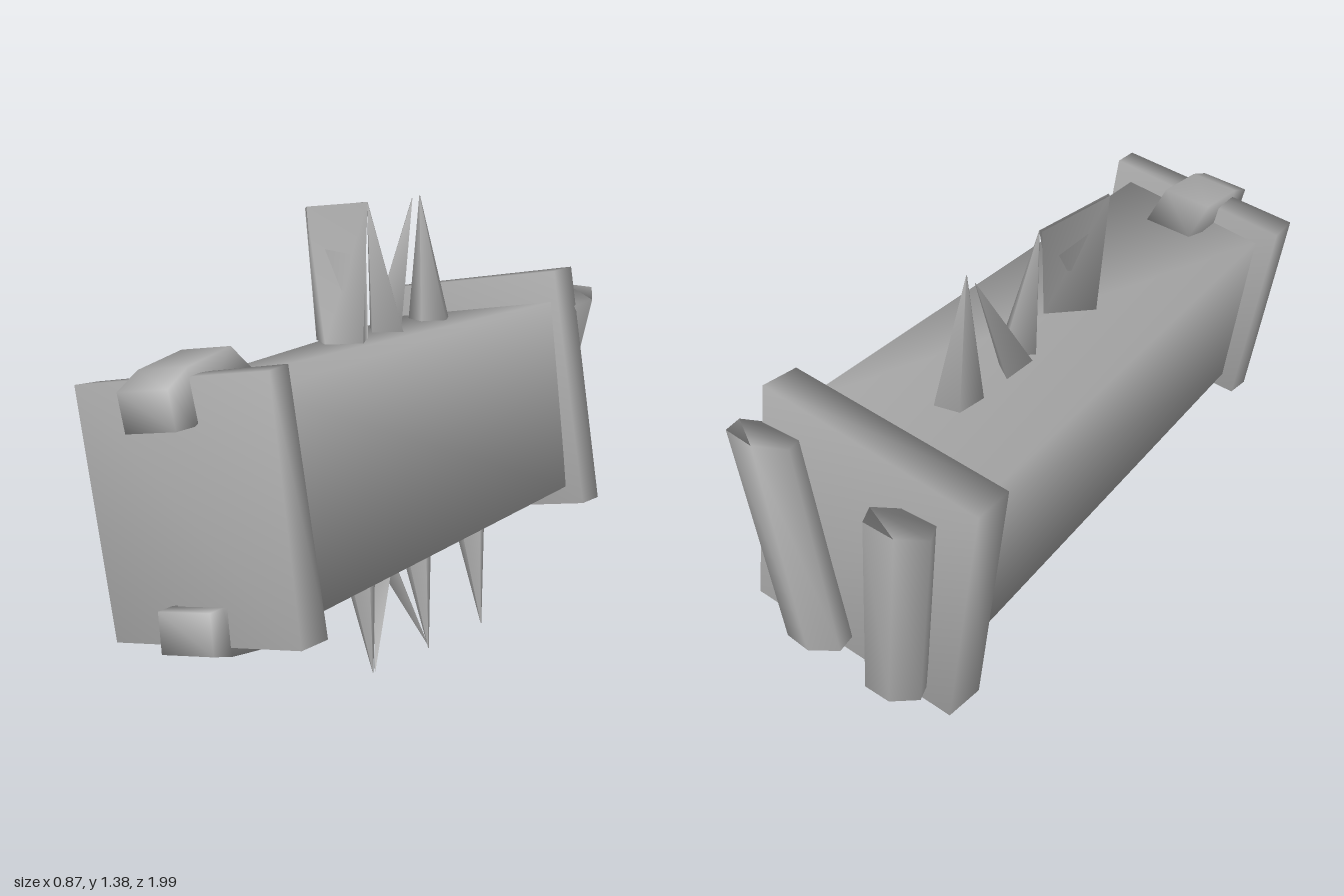
import * as THREE from 'three';

// Skin matching rings of [x, y, z] points, cap both ends and share vertices for soft shading
function loft(rings, capped = true) {
  const n = rings[0].length;
  const pts = rings.flat();
  const idx = [];
  for (let r = 0; r < rings.length - 1; r++) {
    for (let i = 0; i < n; i++) {
      const a = r * n + i, b = r * n + (i + 1) % n;
      idx.push(a, b, b + n, a, b + n, a + n);
    }
  }
  if (capped) {
    const last = (rings.length - 1) * n;
    for (let i = 1; i < n - 1; i++) {
      idx.push(0, i + 1, i);
      idx.push(last, last + i, last + i + 1);
    }
  }
  // Turn the faces outward if the rings run the other way
  let volume = 0;
  const [a, b, c] = [0, 0, 0].map(() => new THREE.Vector3());
  const mid = new THREE.Vector3();
  pts.forEach((p) => mid.add(a.fromArray(p)));
  mid.divideScalar(pts.length);
  for (let i = 0; i < idx.length; i += 3) {
    a.fromArray(pts[idx[i]]).sub(mid);
    b.fromArray(pts[idx[i + 1]]).sub(mid);
    c.fromArray(pts[idx[i + 2]]).sub(mid);
    volume += a.dot(b.cross(c));
  }
  if (volume < 0) idx.reverse();
  const g = new THREE.BufferGeometry();
  g.setAttribute('position', new THREE.Float32BufferAttribute(pts.flat(), 3));
  g.setIndex(idx);
  g.computeVertexNormals();
  return g;
}

// Flat polygon around a centre in the ground plane
function ring(x, y, z, rx, rz, n, turn = 0) {
  return Array.from({ length: n }, (_, i) => {
    const t = turn + (i / n) * Math.PI * 2;
    return [x + rx * Math.cos(t), y, z + rz * Math.sin(t)];
  });
}

export function createModel() {
  const model = new THREE.Group();
  const grey = new THREE.MeshStandardMaterial({ color: 0xb0b0b0, side: THREE.DoubleSide });
  grey.name = 'plain grey';
  const add = (name, geometry) => {
    const mesh = new THREE.Mesh(geometry, grey);
    mesh.name = name;
    model.add(mesh);
  };

  // Long tilted body
  add('body', loft([
    [[-0.345, 0.955, -0.76], [-0.255, 0.375, -0.76], [0.285, 0.43, -0.76], [0.22, 1.04, -0.76]],
    [[-0.18, 0.92, 0.85], [-0.1, 0.375, 0.85], [0.35, 0.42, 0.85], [0.28, 1.0, 0.85]],
  ]));

  // End plates, slightly skewed
  add('frontPlate', loft([
    [[-0.25, 0.97, 0.84], [-0.14, 0.315, 0.84], [0.43, 0.395, 0.78], [0.325, 1.065, 0.79]],
    [[-0.245, 0.975, 0.93], [-0.14, 0.31, 0.92], [0.425, 0.395, 0.88], [0.33, 1.06, 0.87]],
  ]));
  add('backPlate', loft([
    [[-0.435, 1.04, -0.81], [-0.315, 0.28, -0.82], [0.35, 0.38, -0.87], [0.235, 1.145, -0.85]],
    [[-0.43, 1.04, -0.69], [-0.315, 0.275, -0.7], [0.345, 0.38, -0.77], [0.23, 1.14, -0.74]],
  ]));

  // Bent clips hooked over the front plate: a [z, y] profile drawn across x
  const clip = (name, profile, x, width, yMid, lean, skew) => {
    const side = (s) => profile.map(([z, y]) => [
      x + s * width / 2 + lean * (yMid - y) + skew * (z - 0.95),
      y + s * 0.01, z - s * 0.01,
    ]);
    add(name, loft([side(-1), side(1)]));
  };
  clip('topClip', [[0.92, 0.9], [0.86, 0.95], [0.64, 0.99], [0.72, 1.065], [0.9, 1.04], [0.99, 1.0], [0.99, 0.9]],
    0.043, 0.145, 0.98, 0.24, 0.05);
  clip('bottomClip', [[0.92, 0.46], [0.97, 0.46], [0.97, 0.35], [0.9, 0.33], [0.72, 0.305], [0.6, 0.41], [0.86, 0.43]],
    0.142, 0.15, 0.38, 0.08, 0);

  // Leaning hexagonal posts on the back
  const post = (name, top, bottom, turn) => {
    const make = ([x, y, z], r) => ring(x, y, z, r, 0.085, 6, turn)
      .map(([px, py, pz]) => [px, py - 0.4 * (pz - z), pz]);
    add(name, loft([make(bottom, 0.085), make(top, 0.1)]));
  };
  post('leftBackPost', [0.195, 1.04, -0.9], [0.06, 0.42, -0.915], 0.1);
  post('rightBackPost', [-0.255, 0.98, -0.89], [-0.19, 0.37, -0.885], 0.0);

  // Pointed spikes
  const spike = (name, base, tip) => add(name, loft([
    base,
    base.map((p) => tip.map((t, k) => t + (k === 1 ? 0 : 0.02 * (p[k] - base[0][k])))),
  ]));
  spike('topMiddleSpike', ring(-0.025, 1.0, -0.155, 0.065, 0.068, 4, 0.1), [-0.085, 1.38, -0.14]);
  spike('topRearSpike', ring(-0.05, 1.0, -0.44, 0.065, 0.075, 5, 0.1), [-0.085, 1.385, -0.43]);
  spike('topShard', [[-0.1, 1.0, -0.19], [-0.04, 1.0, -0.26], [-0.1, 1.0, -0.3]], [-0.115, 1.375, -0.43]);

  // Blade whose tip is stretched into an edge
  add('topBlade', loft([
    [[-0.085, 1.0, 0.12], [-0.01, 1.0, 0.18], [0.065, 1.0, 0.1], [0.02, 1.0, 0.01]],
    [[-0.115, 1.375, 0.13], [-0.11, 1.38, 0.13], [-0.085, 1.38, -0.14], [-0.095, 1.38, -0.14]],
  ]));

  // Spikes underneath
  const under = [[0.045, 0.115, 0.095, 0.09], [0.06, -0.17, 0.12, -0.18], [0.085, -0.455, 0.14, -0.47]];
  under.forEach(([x, z, tx, tz], i) =>
    spike('bottomSpike' + (i + 1), ring(x, 0.43, z, 0.065, 0.065, 5, 0.3), [tx, 0.01, tz]));

  // Crossing shards between the two front lower spikes
  spike('bottomShard1', [[0.0, 0.42, -0.04], [0.07, 0.42, -0.08], [0.03, 0.42, -0.12]], [0.1, 0.015, 0.09]);
  spike('bottomShard2', [[0.02, 0.42, 0.06], [0.08, 0.42, 0.02], [0.04, 0.42, -0.03]], [0.115, 0.02, -0.18]);

  return model;
}
